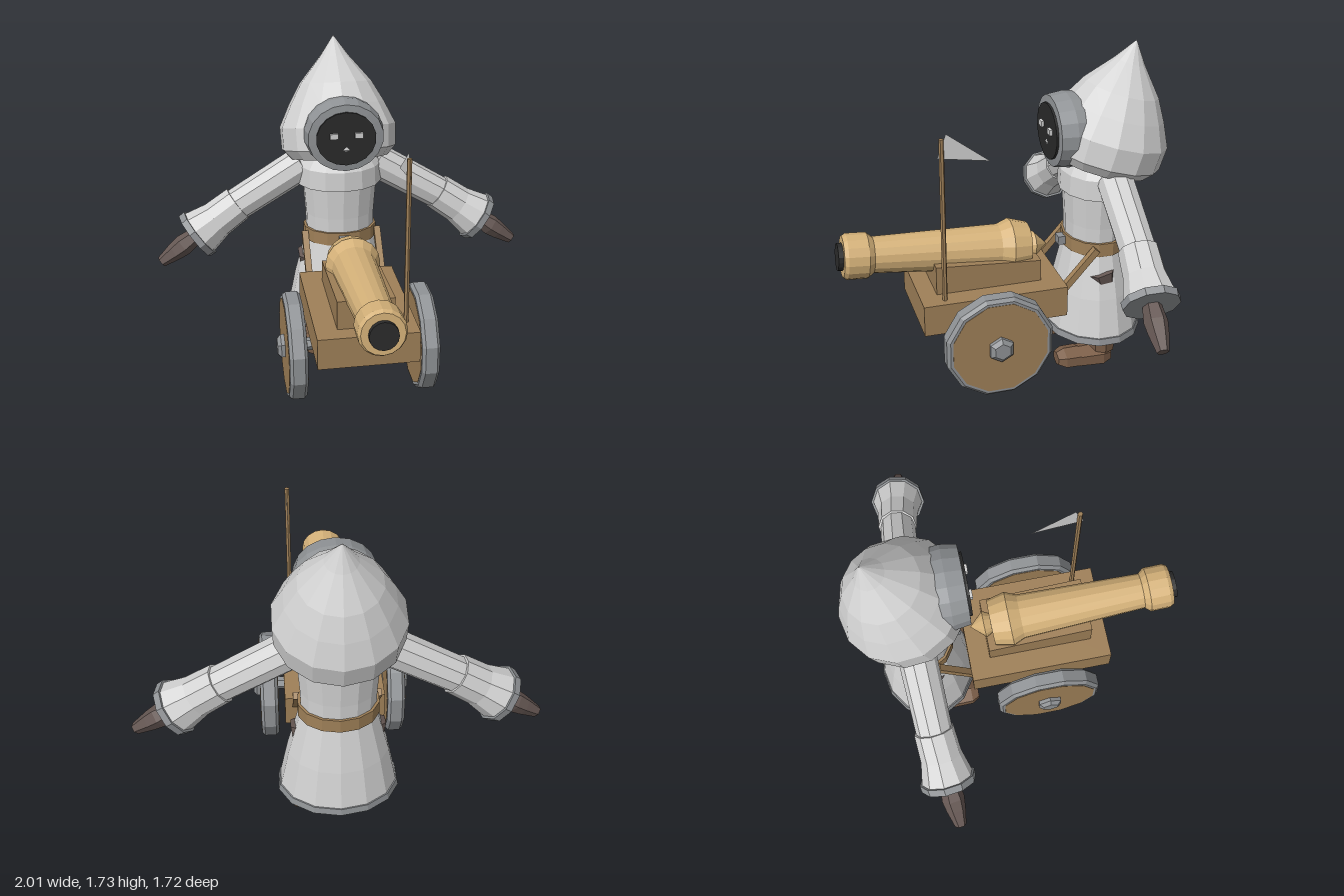
import * as THREE from 'three';

const mat = (name, color, side = THREE.FrontSide) => {
  const m = new THREE.MeshStandardMaterial({ color, flatShading: true, side });
  m.name = name;
  return m;
};

export function createModel() {
  const cloth = mat('pale cloth', 0xd2d2d2);
  const flagCloth = mat('flag cloth', 0xd2d2d2, THREE.DoubleSide);
  const grey = mat('grey trim', 0x909396);
  const dark = mat('near black', 0x2a2a2a);
  const wood = mat('wood', 0x9f8058);
  const brass = mat('brass', 0xd4b179);
  const boot = mat('boot leather', 0x7c5f49);
  const glove = mat('glove leather', 0x655753);
  const root = new THREE.Group();
  const V = (x, y, z) => new THREE.Vector3(x, y, z);
  const UP = V(0, 1, 0);

  const add = (name, geo, material, x = 0, y = 0, z = 0, parent = root) => {
    const m = new THREE.Mesh(geo, material);
    m.name = name;
    m.position.set(x, y, z);
    parent.add(m);
    return m;
  };
  const box = (name, w, h, d, material, x, y, z) =>
    add(name, new THREE.BoxGeometry(w, h, d), material, x, y, z);
  // profile is a list of [radius, height]
  const lathe = (profile, sides) =>
    new THREE.LatheGeometry(profile.map(([r, h]) => new THREE.Vector2(r, h)), sides);
  // turn a mesh so its y axis runs along a direction
  const aim = (mesh, dir) => {
    mesh.quaternion.setFromUnitVectors(UP, dir.clone().normalize());
    return mesh;
  };

  // robe: oval sections, wider than deep
  const robe = new THREE.Group();
  robe.name = 'robe';
  robe.position.z = -0.505;
  robe.scale.x = 1.2;
  root.add(robe);
  const ring = (name, profile, material) => add(name, lathe(profile, 14), material, 0, 0, 0, robe);
  ring('hem', [[0, 0.18], [0.258, 0.18], [0.252, 0.215], [0.235, 0.22]], grey);
  ring('skirt', [[0.248, 0.21], [0.212, 0.42], [0.155, 0.68]], cloth);
  ring('torso', [[0.155, 0.66], [0.158, 0.8], [0.17, 0.99]], cloth);
  ring('belt', [[0.15, 0.65], [0.168, 0.65], [0.168, 0.722], [0.15, 0.722]], wood);
  ring('collar', [[0.16, 0.975], [0.192, 0.975], [0.188, 1.08], [0.14, 1.16], [0, 1.17]], cloth);
  box('buckle', 0.055, 0.045, 0.04, grey, 0, 0.685, -0.322);

  // hood leaning backwards, with a round face opening
  const hood = add('hood', lathe([[0, 0], [0.265, 0], [0.31, 0.05], [0.315, 0.17], [0.258, 0.29],
    [0.195, 0.4], [0.078, 0.54], [0, 0.65]], 14), cloth, 0, 1.105, -0.517);
  hood.rotation.x = -0.28;
  const face = new THREE.Group();
  face.name = 'face';
  face.position.set(0, 1.298, -0.36);
  face.rotation.x = Math.PI / 2;
  face.scale.x = 1.1;
  root.add(face);
  add('faceRing', lathe([[0.18, -0.08], [0.192, 0.025], [0.18, 0.108], [0.14, 0.112], [0, 0.112]], 18), grey, 0, 0, 0, face);
  add('faceShadow', new THREE.CylinderGeometry(0.143, 0.143, 0.03, 18), dark, 0, 0.108, 0, face);

  for (const s of [-1, 1]) {
    box('eye', 0.042, 0.028, 0.02, cloth, s * 0.065, 1.318, -0.232);

    // arm: upper sleeve, flared lower sleeve, cuff and glove
    const shoulder = V(s * 0.2, 1.07, -0.535), elbow = V(s * 0.58, 0.845, -0.52);
    const wrist = V(s * 0.79, 0.7, -0.5), tip = V(s * 0.99, 0.56, -0.48);
    const upper = elbow.clone().sub(shoulder), lower = wrist.clone().sub(elbow);
    const L = lower.length();
    aim(add('upperSleeve', lathe([[0, 0], [0.095, 0], [0.09, upper.length() + 0.02], [0, upper.length() + 0.02]], 10),
      cloth, ...shoulder.toArray()), upper);
    aim(add('lowerSleeve', lathe([[0, -0.03], [0.1, -0.03], [0.105, L * 0.45], [0.132, L - 0.02]], 10),
      cloth, ...elbow.toArray()), lower);
    aim(add('cuff', lathe([[0.13, L - 0.025], [0.143, L - 0.025], [0.14, L + 0.012], [0, L + 0.012]], 10),
      grey, ...elbow.toArray()), lower);
    const reach = tip.clone().sub(wrist), H = reach.length();
    aim(add('glove', lathe([[0, 0], [0.045, 0], [0.058, H * 0.38], [0.05, H * 0.62], [0.03, H], [0, H]], 6),
      glove, ...wrist.toArray()), reach);

    // hip pouch
    const pouch = add('pouch', lathe([[0, -0.05], [0.055, -0.05], [0.075, 0.04], [0, 0.05]], 6),
      glove, s * 0.185, 0.52, -0.5);
    pouch.scale.x = 0.75;
    pouch.rotation.x = 0.25;

    // leg and two-part boot
    add('leg', new THREE.CylinderGeometry(0.085, 0.07, 0.18, 8), boot, s * 0.17, 0.18, -0.51);
    const heel = add('heel', lathe([[0, 0], [0.06, 0], [0.088, 0.05], [0.08, 0.18], [0, 0.18]], 6),
      boot, s * 0.17, 0.058, -0.55);
    heel.rotation.x = Math.PI / 2;
    heel.scale.z = 0.65;
    const toe = add('toe', lathe([[0, 0], [0.08, 0], [0.078, 0.08], [0.05, 0.12], [0, 0.12]], 6),
      boot, s * 0.172, 0.062, -0.375);
    toe.rotation.x = Math.PI / 2;
    toe.scale.z = 0.68;

    // strut from belt to cart
    const a = V(s * 0.2, 0.47, -0.25), b = V(s * 0.2, 0.7, -0.45), d = b.clone().sub(a);
    aim(add('strut', new THREE.BoxGeometry(0.035, d.length(), 0.035), wood,
      ...a.clone().add(b).multiplyScalar(0.5).toArray()), d);

    // wheel: wooden disc, metal rim and hub
    const wheel = new THREE.Group();
    wheel.name = 'wheel';
    wheel.position.set(s * 0.335, 0.315, 0.112);
    wheel.rotation.z = -s * Math.PI / 2;
    root.add(wheel);
    const turn = (name, geo, material, y) => {
      add(name, geo, material, 0, y, 0, wheel).rotation.y = Math.PI / 12;
    };
    turn('wheelDisc', new THREE.CylinderGeometry(0.253, 0.253, 0.096, 12), wood, 0);
    turn('wheelRim', lathe([[0.25, -0.046], [0.267, -0.046], [0.284, -0.03], [0.284, 0.03],
      [0.267, 0.046], [0.25, 0.046]], 12), grey, 0);
    add('hub', lathe([[0, 0], [0.068, 0], [0.068, 0.02], [0.045, 0.038], [0, 0.038]], 6),
      grey, 0, 0.047, 0, wheel).rotation.y = Math.PI / 6;
  }
  add('axle', new THREE.CylinderGeometry(0.033, 0.033, 0.6, 6), grey, 0, 0.315, 0.112).rotation.z = Math.PI / 2;

  // cart bed and sloping cradle
  box('cartBed', 0.51, 0.165, 0.75, wood, 0, 0.453, 0.095);
  const cradle = new THREE.Shape([[-0.38, 0.53], [0.17, 0.53], [0.17, 0.65], [-0.38, 0.688]]
    .map(([x, y]) => new THREE.Vector2(x, y)));
  const cradleMesh = add('cradle', new THREE.ExtrudeGeometry(cradle, { depth: 0.29, bevelEnabled: false }),
    wood, -0.145, 0, 0);
  cradleMesh.rotation.y = Math.PI / 2;

  // cannon, profile running from the rear knob to the muzzle
  const rear = V(0, 0.668, -0.245), muzzle = V(0, 0.745, 0.835);
  const axis = muzzle.clone().sub(rear), len = axis.length();
  aim(add('cannon', lathe([[0, 0], [0.07, 0.075], [0.052, 0.11], [0.122, 0.112], [0.145, 0.21], [0.118, 0.27],
    [0.093, 0.92], [0.117, 0.95], [0.117, len - 0.03], [0.105, len - 0.01], [0, len - 0.01]], 16),
    brass, ...rear.toArray()), axis);
  aim(add('bore', new THREE.CylinderGeometry(0.07, 0.07, 0.03, 16), dark, ...muzzle.toArray()), axis);

  // pennant on its pole
  add('flagPole', new THREE.CylinderGeometry(0.013, 0.013, 0.87, 6), wood, 0.205, 0.96, 0.352);
  const pennant = new THREE.Shape([[-0.33, 1.42], [-0.375, 1.3], [-0.115, 1.26]]
    .map(([x, y]) => new THREE.Vector2(x, y)));
  add('pennant', new THREE.ShapeGeometry(pennant), flagCloth, 0.208, 0, 0).rotation.y = Math.PI / 2;

  return root;
}
